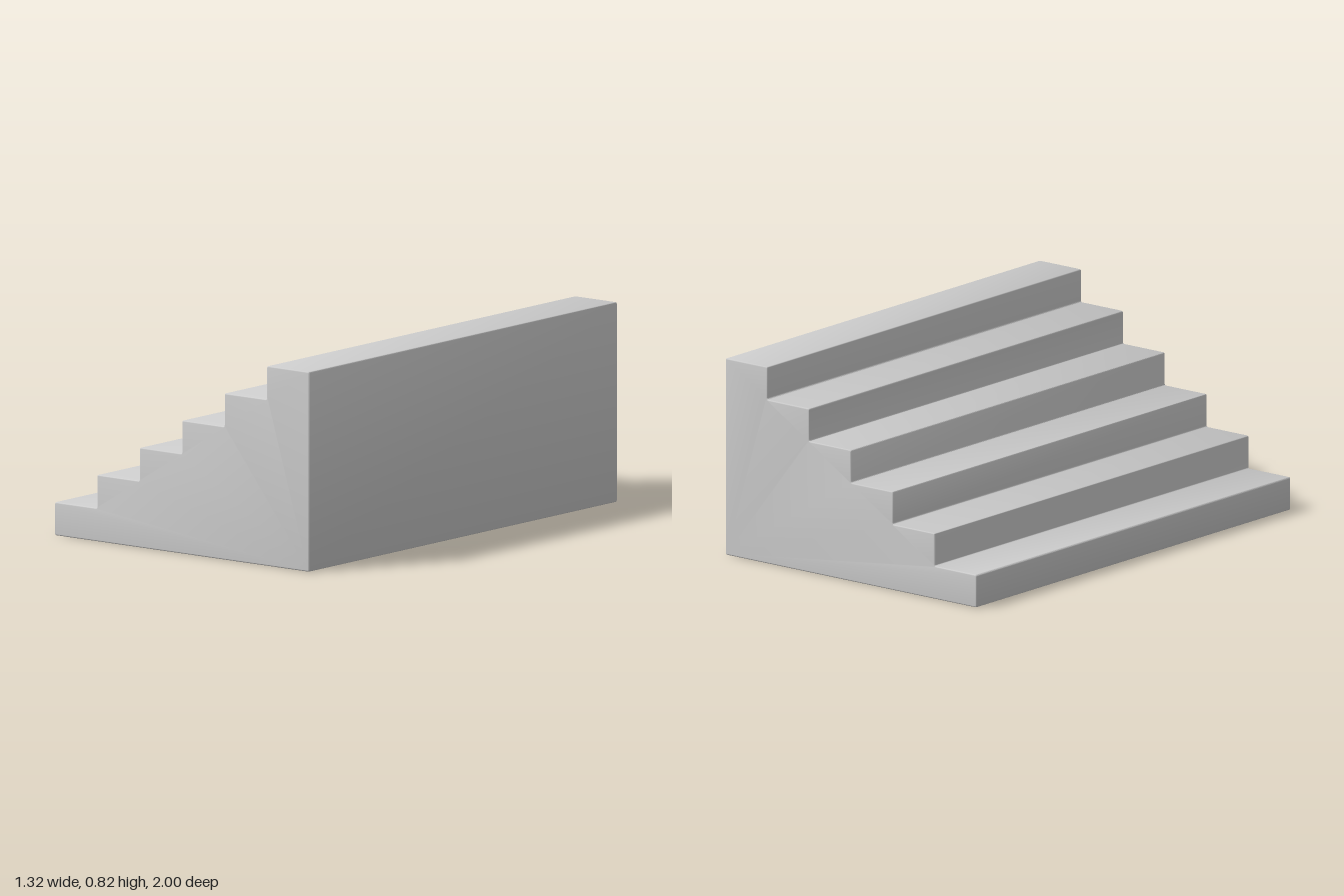
import * as THREE from 'three';
import { toCreasedNormals } from 'three/addons/utils/BufferGeometryUtils.js';

const STEPS = 6, RISE = 0.137, RUN = 0.2193, LENGTH = 2;
const ROUND = 0.008, BEVEL = 0.005;

// Closed shape through the corners, each softened by a small radius
function roundedShape(corners, r) {
  const shape = new THREE.Shape();
  corners.forEach((c, i) => {
    const prev = corners[(i + corners.length - 1) % corners.length];
    const next = corners[(i + 1) % corners.length];
    const a = c.clone().add(prev.clone().sub(c).setLength(r));
    const b = c.clone().add(next.clone().sub(c).setLength(r));
    if (i === 0) shape.moveTo(a.x, a.y);
    else shape.lineTo(a.x, a.y);
    shape.quadraticCurveTo(c.x, c.y, b.x, b.y);
  });
  shape.closePath();
  return shape;
}

export function createModel() {
  const group = new THREE.Group();
  group.name = 'staircase';
  const half = STEPS * RUN / 2;

  // Side profile: flat base and tall back, then the steps going down to -x
  const corners = [new THREE.Vector2(-half, 0), new THREE.Vector2(half, 0)];
  for (let i = STEPS; i > 0; i--) {
    const x = -half + i * RUN;
    corners.push(new THREE.Vector2(x, i * RISE), new THREE.Vector2(x - RUN, i * RISE));
  }

  // Solid block of steps with softened end edges
  const geometry = new THREE.ExtrudeGeometry(roundedShape(corners, ROUND), {
    depth: LENGTH - 2 * BEVEL,
    curveSegments: 4,
    bevelEnabled: true,
    bevelThickness: BEVEL,
    bevelSize: BEVEL,
    bevelOffset: -BEVEL,
    bevelSegments: 3,
  });
  geometry.translate(0, 0, BEVEL - LENGTH / 2);

  const steps = new THREE.Mesh(
    toCreasedNormals(geometry, Math.PI / 5),
    new THREE.MeshStandardMaterial({ color: 0xcccccc }),
  );
  steps.name = 'steps';
  group.add(steps);
  return group;
}
